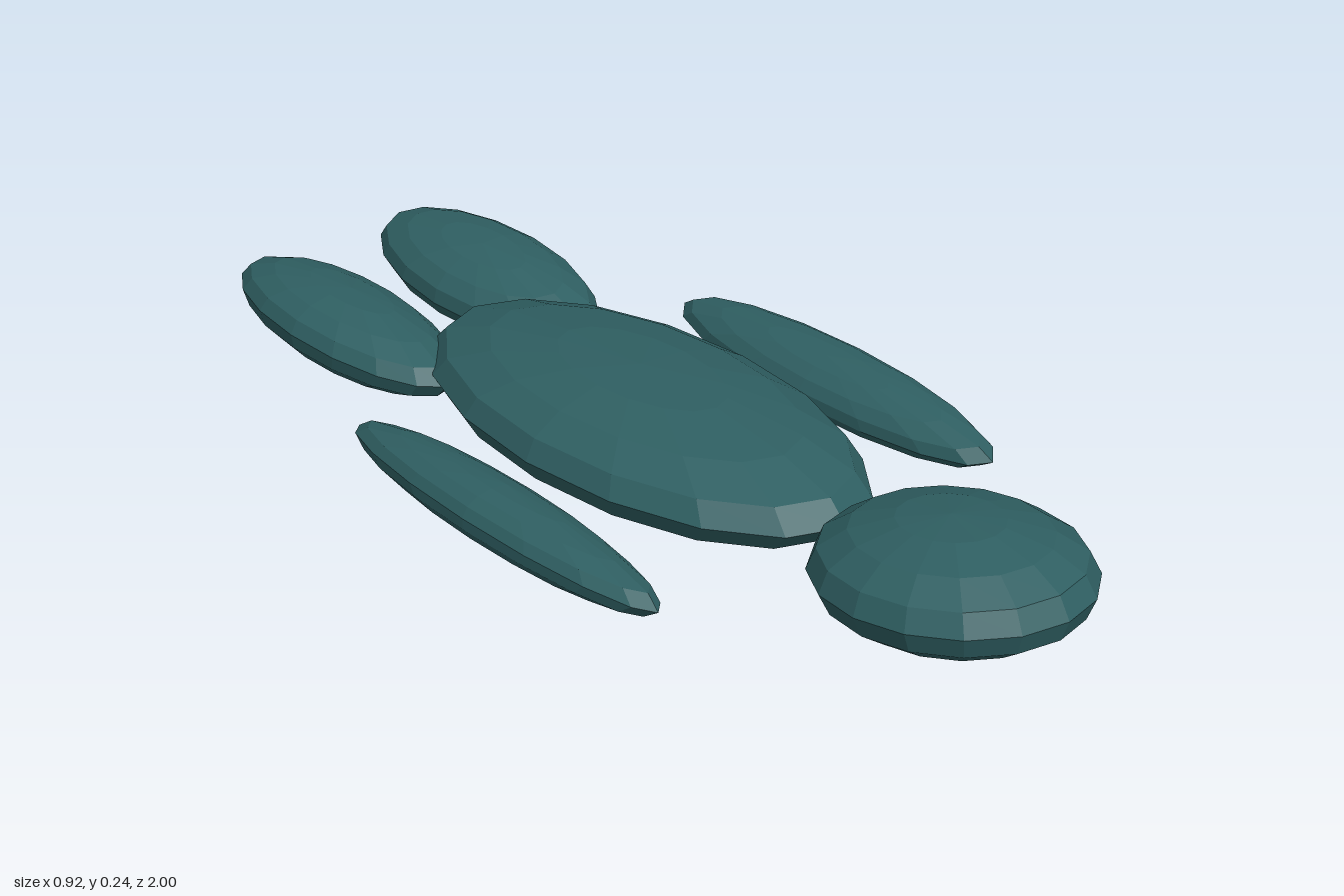
import * as THREE from 'three';

export function createModel() {
  const model = new THREE.Group();
  const teal = new THREE.MeshStandardMaterial({ color: 0x2f5f62, flatShading: true });
  teal.name = 'deep teal';
  const ball = new THREE.SphereGeometry(1, 16, 8);

  // A faceted ellipsoid: centre, radii, pitch about x and roll about z
  function ellipsoid(name, centre, radii, pitch = 0, roll = 0) {
    const mesh = new THREE.Mesh(ball, teal);
    mesh.name = name;
    mesh.position.set(...centre);
    mesh.scale.set(...radii);
    mesh.rotation.set(pitch, 0, roll);
    model.add(mesh);
  }

  // Flattened torso and slightly raised head
  ellipsoid('body', [0, 0.108, -0.025], [0.26, 0.103, 0.527], -0.015);
  ellipsoid('head', [0, 0.145, 0.745], [0.218, 0.102, 0.252], -0.1);

  // Mirrored limbs, outer edges tipped upwards
  for (const [side, s] of [['left', 1], ['right', -1]]) {
    ellipsoid(side + 'Arm', [s * 0.38, 0.088, 0.06], [0.083, 0.054, 0.41], 0, s * 0.25);
    ellipsoid(side + 'HindLeg', [s * 0.165, 0.088, -0.69], [0.131, 0.074, 0.31], 0.03, s * 0.15);
  }
  return model;
}
